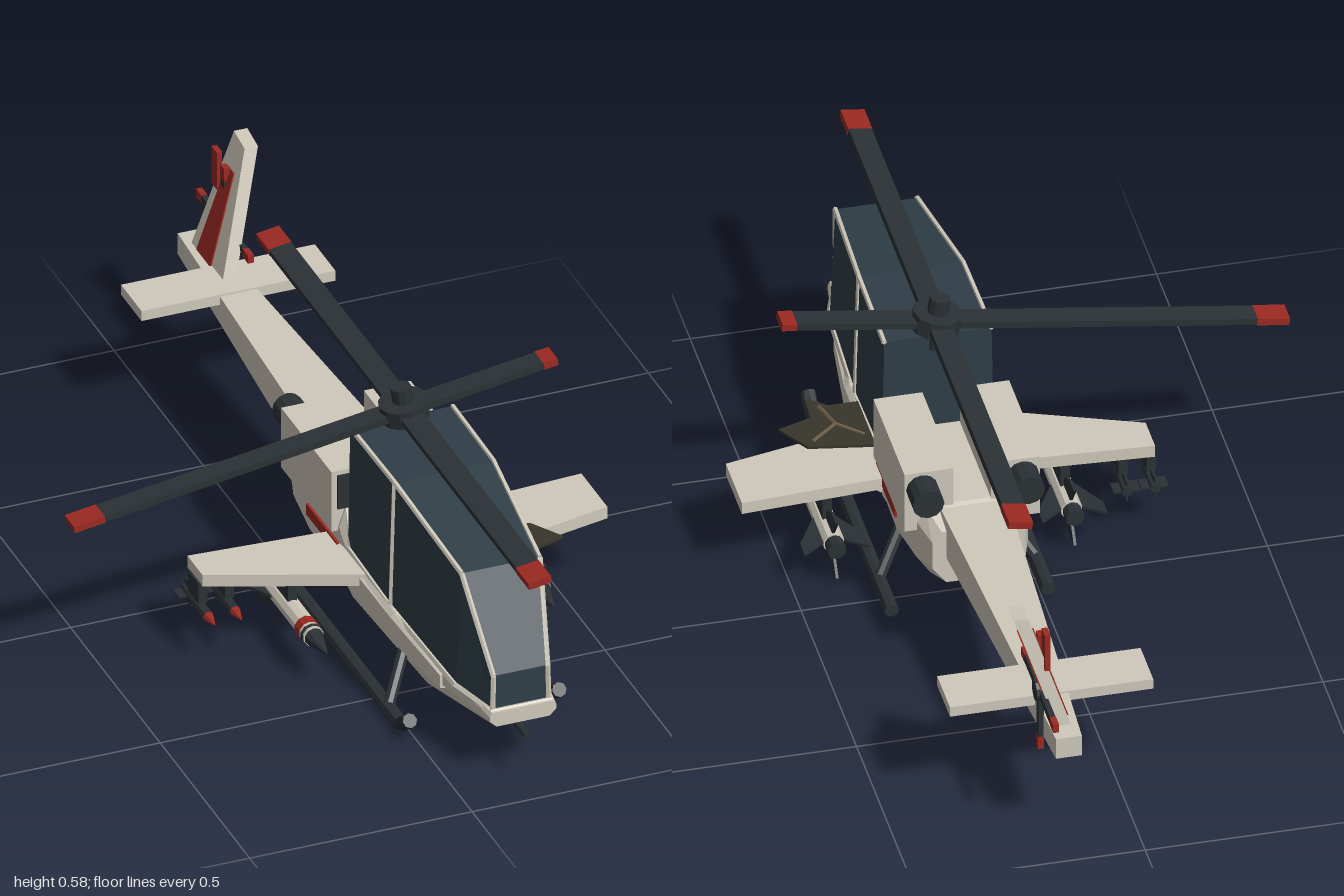
import * as THREE from 'three';

const mat = (color) => new THREE.MeshStandardMaterial({ color, flatShading: true, side: THREE.DoubleSide });
const V = (x, y, z) => new THREE.Vector3(x, y, z);

export function createModel() {
  const root = new THREE.Group();
  root.name = 'helicopter';
  root.position.x = 0.153; // the long rotor blade shifts the body off centre
  const cream = mat(0xcfc9bb), glass = mat(0x2f3e47), dark = mat(0x2b3135);
  const red = mat(0x9c2a22), soot = mat(0x38352c), crack = mat(0x75624a);

  const add = (name, geo, material, parent = root) => {
    const m = new THREE.Mesh(geo, material);
    m.name = name;
    parent.add(m);
    return m;
  };
  const group = (name, x, y, z, parent = root) => {
    const g = new THREE.Group();
    g.name = name;
    g.position.set(x, y, z);
    parent.add(g);
    return g;
  };
  const box = (name, w, h, d, x, y, z, material, parent) =>
    add(name, new THREE.BoxGeometry(w, h, d).translate(x, y, z), material, parent);
  // round bar between two points
  const bar = (name, a, b, r, material, parent, sides = 8, r2 = r) => {
    const dir = b.clone().sub(a);
    const m = add(name, new THREE.CylinderGeometry(r2, r, dir.length(), sides), material, parent);
    m.position.copy(a).add(b).multiplyScalar(0.5);
    m.quaternion.setFromUnitVectors(V(0, 1, 0), dir.normalize());
    return m;
  };
  // symmetric loft, back to front: [z, [half width, y] from bottom to top]
  const loft = (name, sections, material) => {
    const rings = sections.map(([z, ...half]) => [
      ...half.map(([x, y]) => [x, y, z]),
      ...half.map(([x, y]) => [-x, y, z]).reverse(),
    ]);
    const n = rings[0].length, idx = [];
    for (let s = 0; s < rings.length - 1; s++) {
      for (let i = 0; i < n; i++) {
        const a = s * n + i, b = s * n + (i + 1) % n;
        idx.push(a, b, b + n, a, b + n, a + n);
      }
    }
    const last = (rings.length - 1) * n;
    for (let i = 1; i < n - 1; i++) idx.push(0, i + 1, i, last, last + i, last + i + 1);
    const geo = new THREE.BufferGeometry();
    geo.setAttribute('position', new THREE.Float32BufferAttribute(rings.flat(2), 3));
    geo.setIndex(idx);
    geo.computeVertexNormals();
    return add(name, geo, material);
  };
  const shape = (pts) => new THREE.Shape(pts.map(([x, y]) => new THREE.Vector2(x, y)));
  const extrude = (pts, depth) => new THREE.ExtrudeGeometry(shape(pts), { depth, bevelEnabled: false });
  // flat plate with an outline in x, z
  const slab = (name, pts, top, thick, material) =>
    add(name, extrude(pts, thick).rotateX(Math.PI / 2).translate(0, top, 0), material);

  // fuselage, cheeks and tail boom
  loft('fuselage', [
    [-0.145, [0.07, 0.13], [0.1, 0.17], [0.1, 0.235], [0.08, 0.26]],
    [-0.08, [0.09, 0.115], [0.12, 0.16], [0.12, 0.25], [0.1, 0.285]],
    [0.04, [0.1, 0.09], [0.133, 0.15], [0.133, 0.25], [0.115, 0.285]],
    [0.2, [0.11, 0.09], [0.13, 0.15], [0.13, 0.24], [0.115, 0.285]],
    [0.24, [0.115, 0.09], [0.125, 0.15], [0.125, 0.19], [0.12, 0.21]],
    [0.62, [0.1, 0.09], [0.115, 0.13], [0.115, 0.17], [0.11, 0.19]],
    [0.905, [0.06, 0.135], [0.075, 0.15], [0.075, 0.16], [0.07, 0.17]],
  ], cream);
  loft('cheekFairing', [
    [0.2, [0.13, 0.13], [0.14, 0.14], [0.14, 0.195], [0.13, 0.2]],
    [0.5, [0.125, 0.125], [0.135, 0.135], [0.135, 0.19], [0.125, 0.2]],
    [0.71, [0.08, 0.125], [0.108, 0.13], [0.108, 0.16], [0.09, 0.168]],
  ], cream);
  loft('tailBoom', [
    [-0.955, [0.028, 0.235], [0.028, 0.285]],
    [-0.1, [0.072, 0.19], [0.072, 0.288]],
  ], cream);

  // canopy with its frame
  const stations = [
    [0.225, 0.12, 0.205, 0.115, 0.495], [0.465, 0.12, 0.195, 0.112, 0.495],
    [0.78, 0.1, 0.175, 0.088, 0.445], [0.89, 0.063, 0.165, 0.061, 0.25],
  ];
  loft('canopy', stations.map(([z, wb, yb, wt, yt]) => [z, [wb, yb], [wt, yt]]), glass);
  for (const s of [-1, 1]) {
    const top = stations.map(([z, , , w, y]) => V(s * w, y, z));
    const low = stations.map(([z, w, y]) => V(s * w, y, z));
    for (let i = 0; i < 3; i++) {
      bar('roofFrame', top[i], top[i + 1], 0.006, cream, root, 5);
      bar('sillFrame', low[i], low[i + 1], 0.008, cream, root, 5);
    }
    bar('doorPost', low[1], top[1], 0.006, cream, root, 5);
    bar('nosePost', low[3], top[3], 0.006, cream, root, 5);
  }
  bar('noseSill', V(-0.07, 0.165, 0.895), V(0.07, 0.165, 0.895), 0.009, cream, root, 5);

  // chin gun
  box('gunMount', 0.07, 0.035, 0.065, 0, 0.11, 0.8, dark);
  bar('gunBarrel', V(0, 0.112, 0.78), V(0, 0.112, 0.93), 0.009, dark);

  for (const s of [-1, 1]) {
    // engines
    box('enginePod', 0.105, 0.145, 0.28, s * 0.093, 0.303, 0.055, cream);
    box('engineIntake', 0.08, 0.08, 0.01, s * 0.093, 0.325, 0.196, dark);
    bar('engineExhaust', V(s * 0.108, 0.335, -0.08), V(s * 0.108, 0.335, -0.145), 0.034, dark, root, 12);
    box('sideStripe', 0.006, 0.026, 0.17, s * 0.135, 0.195, 0.12, red);

    // landing skids
    bar('skid', V(s * 0.168, 0.018, -0.065), V(s * 0.168, 0.018, 0.645), 0.016, dark);
    bar('skidToe', V(s * 0.168, 0.018, 0.64), V(s * 0.168, 0.053, 0.69), 0.016, dark);
    bar('frontStrut', V(s * 0.105, 0.11, 0.5), V(s * 0.168, 0.02, 0.57), 0.013, dark);
    bar('rearStrut', V(s * 0.105, 0.11, 0.11), V(s * 0.168, 0.02, 0.05), 0.013, dark);

    // stub wings, the left tip is longer
    slab('wing', [[s * 0.11, 0.15], [s * 0.443, 0.13], [s * 0.443, s > 0 ? 0.275 : 0.215], [s * 0.11, 0.345]],
      0.203, 0.028, cream);

    // large missile with cross fins
    const m = group('missile', s * 0.255, 0.097, 0);
    bar('missileBody', V(0, 0, 0.09), V(0, 0, 0.37), 0.023, cream, m, 10);
    bar('missileBand', V(0, 0, 0.322), V(0, 0, 0.345), 0.025, red, m, 10);
    bar('missileNose', V(0, 0, 0.355), V(0, 0, 0.44), 0.025, dark, m, 10, 0.003);
    bar('missileNozzle', V(0, 0, 0.06), V(0, 0, 0.1), 0.02, dark, m, 10);
    box('missilePylon', 0.02, 0.07, 0.1, 0, 0.05, 0.2, dark, m);
    for (let i = 0; i < 4; i++) {
      const fin = extrude([[0.2, 0.015], [0.1, 0.07], [0.06, 0.07], [0.1, 0.015]], 0.006);
      add('missileFin', fin.translate(0, 0, -0.003).rotateY(-Math.PI / 2).rotateZ(i * Math.PI / 2), dark, m);
    }
  }

  // small rockets under the right wing tip
  for (const x of [-0.438, -0.378]) {
    const r = group('smallRocket', x, 0.112, 0.175);
    box('rocketPylon', 0.02, 0.05, 0.06, 0, 0.04, 0, dark, r);
    bar('rocketBody', V(0, 0, -0.07), V(0, 0, 0.06), 0.012, dark, r);
    bar('rocketNose', V(0, 0, 0.06), V(0, 0, 0.095), 0.012, red, r, 8, 0.002);
    box('rocketFinFlat', 0.058, 0.004, 0.035, 0, 0, -0.05, dark, r);
    box('rocketFinUpright', 0.004, 0.052, 0.035, 0, 0, -0.05, dark, r);
  }

  // scorched damage on the left wing root
  slab('scorchPatch', [[0.125, 0.26], [0.265, 0.285], [0.31, 0.36], [0.235, 0.385], [0.232, 0.46],
    [0.19, 0.42], [0.125, 0.42]], 0.21, 0.006, soot);
  const hub = V(0.19, 0.211, 0.35);
  for (const [x, z] of [[0.14, 0.3], [0.25, 0.3], [0.21, 0.42]]) bar('crack', hub, V(x, 0.211, z), 0.004, crack, root, 4);

  // stabilizer and leaning tail fin
  box('stabilizer', 0.436, 0.024, 0.115, 0, 0.278, -0.742, cream);
  const leaning = (name, pts, thick, material) => {
    const geo = extrude(pts, thick).rotateY(-Math.PI / 2).translate(thick / 2, 0, 0);
    const p = geo.attributes.position;
    for (let i = 0; i < p.count; i++) p.setX(i, p.getX(i) + (p.getY(i) - 0.285) * 0.32);
    geo.computeVertexNormals();
    return add(name, geo, material);
  };
  leaning('tailFin', [[-0.735, 0.28], [-0.91, 0.28], [-0.885, 0.552], [-0.82, 0.545]], 0.03, cream);
  leaning('finStripe', [[-0.8, 0.287], [-0.878, 0.287], [-0.866, 0.485], [-0.828, 0.485]], 0.036, red);

  // tail rotor
  const tail = group('tailRotor', 0.038, 0.345, -0.855);
  bar('tailHub', V(-0.03, 0, 0), V(0.012, 0, 0), 0.024, dark, tail, 10);
  for (let i = 0; i < 4; i++) {
    const b = group('tailBlade', 0, 0, 0, tail);
    b.rotation.x = i * Math.PI / 2;
    box('blade', 0.012, 0.115, 0.018, 0, 0.0575, 0, dark, b);
    box('bladeTip', 0.013, 0.03, 0.02, 0, 0.13, 0, red, b);
  }
  box('bentBladeTip', 0.012, 0.09, 0.03, -0.005, 0.125, -0.033, red, tail);

  // main rotor, one blade broken short
  bar('mast', V(0, 0.46, 0.24), V(0, 0.53, 0.24), 0.025, dark, root, 10);
  const rotor = group('mainRotor', 0, 0.525, 0.24);
  rotor.rotation.z = 0.15;
  add('rotorHub', new THREE.CylinderGeometry(0.053, 0.053, 0.04, 12), dark, rotor);
  add('rotorCap', new THREE.CylinderGeometry(0.022, 0.022, 0.04, 10).translate(0, 0.035, 0), dark, rotor);
  [0.34, 0.76, 0.76, 0.76].forEach((len, i) => {
    const b = group('rotorBlade', 0, 0, 0, rotor);
    b.rotation.y = i * Math.PI / 2;
    const tip = i === 0 ? 0.032 : 0.07;
    box('blade', len - tip, 0.015, 0.05, (len - tip) / 2, 0, 0, dark, b);
    box('bladeTip', tip, 0.016, 0.052, len - tip / 2, 0, 0, red, b);
  });
  return root;
}
